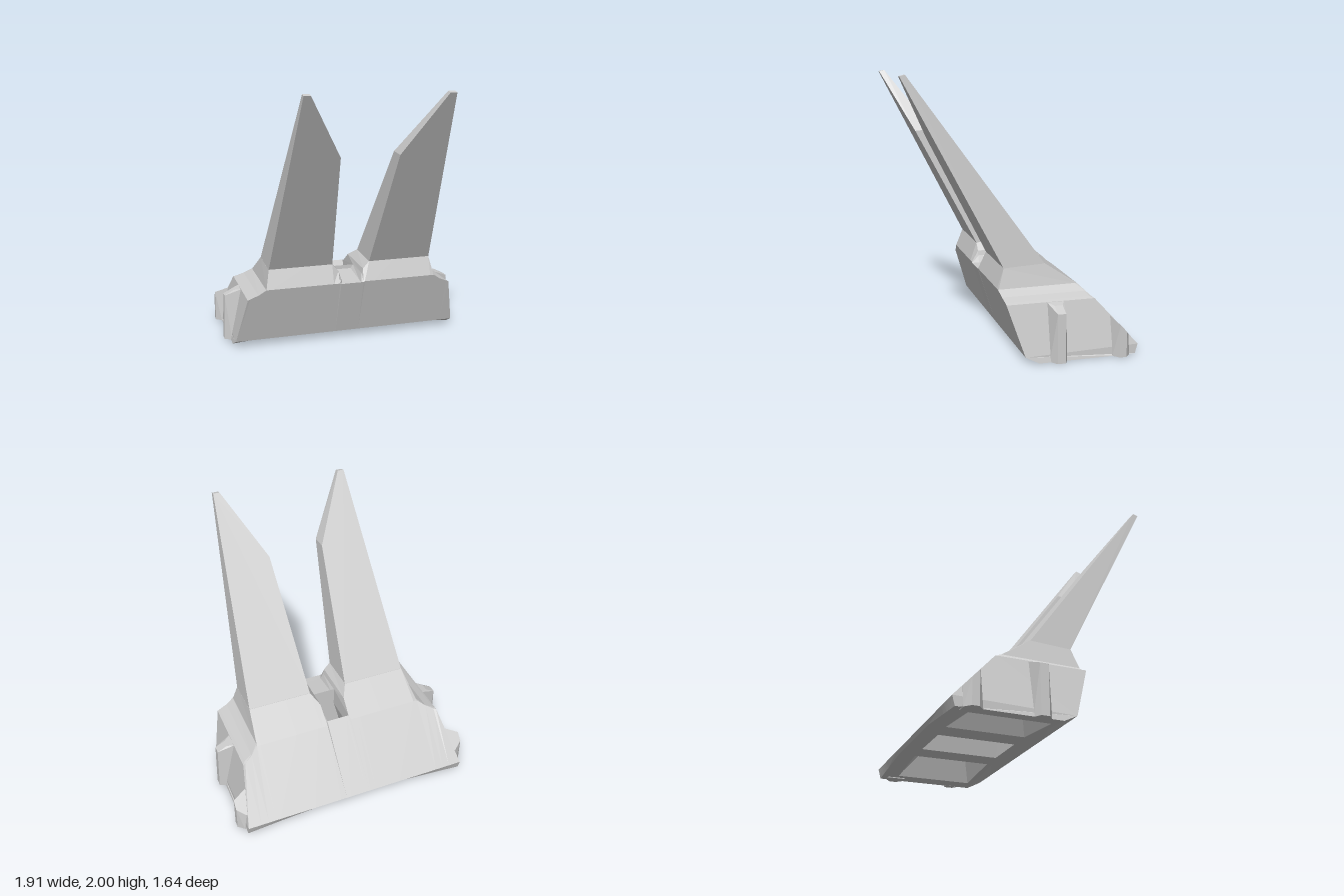
import * as THREE from 'three';
import { ConvexGeometry } from 'three/addons/geometries/ConvexGeometry.js';

const Z_FRONT = -0.11, Z_REAR = -0.68; // recess extents in the underside

// Underside arches up gently towards the middle
const bottomY = (x) => 0.05 * (1 - Math.min(1, Math.max(0, (Math.abs(x) - 0.37) / 0.53)));

// Side profile at x: front toe, front shoulder, ridge front, ridge back, slope start, tail, underside
function station(x, b, t1, t2, c) {
  const y = bottomY(x);
  return [[0.03, 0.05], b, t1, t2, c, [-0.82, 0.07], [-0.8, y], [Z_REAR, y], [Z_FRONT, y], [-0.07, y]]
    .map(([pz, py]) => [x, py, pz]);
}

function meshFromTriangles(name, triangles, material) {
  const geometry = new THREE.BufferGeometry();
  geometry.setAttribute('position', new THREE.Float32BufferAttribute(triangles.flat(2), 3));
  geometry.computeVertexNormals();
  const mesh = new THREE.Mesh(geometry, material);
  mesh.name = name;
  return mesh;
}

const quad = (out, a, b, c, d) => out.push([a, b, c], [a, c, d]);

function makeBody(material) {
  const ridge = [[0.17, 0.49], [0.12, 0.635], [-0.19, 0.65], [-0.43, 0.49]];
  const half = [
    station(0.07, [0.17, 0.485], [0.12, 0.49], [-0.11, 0.52], [-0.4, 0.51]),
    station(0.09, [0.17, 0.485], [0.12, 0.54], [-0.11, 0.55], [-0.4, 0.51]),
    station(0.1, [0.17, 0.49], [0.12, 0.58], [-0.28, 0.59], [-0.43, 0.49]),
    ...[0.15, 0.18, 0.36, 0.65].map((x) => station(x, ...ridge)),
    station(0.68, [0.17, 0.49], [0.165, 0.49], [-0.41, 0.495], [-0.43, 0.49]),
    station(0.74, [0.157, 0.45], [0.15, 0.45], [-0.46, 0.45], [-0.47, 0.45]),
    station(0.8, [0.149, 0.425], [0.14, 0.425], [-0.48, 0.425], [-0.5, 0.42]),
    // Sloping end wall
    [[0.9, 0.05, 0.03], [0.82, 0.415, 0.147], [0.82, 0.415, 0.14], [0.82, 0.415, -0.49], [0.82, 0.415, -0.51],
      [0.9, 0.07, -0.82], [0.9, 0, -0.8], [0.91, 0, Z_REAR], [0.91, 0, Z_FRONT], [0.91, 0, -0.07]],
  ];
  const mirrored = half.map((s) => s.map(([x, y, z]) => [-x, y, z])).reverse();
  const stations = [...mirrored, ...half];
  const tris = [];

  for (let i = 0; i < stations.length - 1; i++) {
    const s = stations[i], t = stations[i + 1];
    const mid = Math.abs(s[9][0] + t[9][0]) / 2;
    for (let j = 0; j < s.length; j++) {
      const k = (j + 1) % s.length;
      const inSlot = j === 3 && mid < 0.09;
      const inRecess = j === 7 && (mid < 0.18 || (mid > 0.36 && mid < 0.8));
      if (!inSlot && !inRecess) quad(tris, s[j], t[j], t[k], s[k]);
    }
  }
  // End caps
  const end = half[half.length - 1], start = stations[0];
  for (let j = 1; j < end.length - 1; j++) {
    tris.push([end[0], end[j + 1], end[j]], [start[0], start[j], start[j + 1]]);
  }
  return meshFromTriangles('body', tris, material);
}

// Rectangular ring of four corners
const ring = (x0, x1, z0, z1, y) => [[x0, z0], [x1, z0], [x1, z1], [x0, z1]]
  .map(([x, z]) => [x, typeof y === 'function' ? y(x, z) : y, z]);

function makeRecess(name, rings, closed, material) {
  const tris = [];
  for (let i = 0; i < rings.length - 1; i++) {
    for (let j = 0; j < 4; j++) {
      const k = (j + 1) % 4;
      quad(tris, rings[i][j], rings[i][k], rings[i + 1][k], rings[i + 1][j]);
    }
  }
  if (closed) quad(tris, ...rings[rings.length - 1]);
  return meshFromTriangles(name, tris, material);
}

function makeHull(name, points, side, material) {
  const mesh = new THREE.Mesh(
    new ConvexGeometry(points.map(([x, y, z]) => new THREE.Vector3(x * side, y, z))), material);
  mesh.name = name;
  return mesh;
}

export function createModel() {
  const group = new THREE.Group();
  const material = new THREE.MeshStandardMaterial({ color: 0xcccccc, flatShading: true });
  const openMaterial = material.clone();
  openMaterial.side = THREE.DoubleSide;

  group.add(makeBody(openMaterial));

  // Central funnel opening into the slot between the prongs
  group.add(makeRecess('centreSlot', [
    ring(-0.18, 0.18, Z_FRONT, Z_REAR, bottomY),
    ring(-0.09, 0.09, Z_FRONT, -0.35, 0.4),
    ring(-0.09, 0.09, Z_FRONT, -0.4, (x, z) => (z > -0.2 ? 0.55 : 0.51)),
  ], false, openMaterial));

  const slopeY = (z) => 0.49 + (z + 0.43) * 1.077;
  for (const side of [1, -1]) {
    const label = side > 0 ? 'left' : 'right';

    // Tapered pocket in the underside
    const [xa, xb] = side > 0 ? [0.36, 0.8] : [-0.8, -0.36];
    const [xc, xd] = side > 0 ? [0.5, 0.68] : [-0.68, -0.5];
    group.add(makeRecess(label + 'Pocket', [
      ring(xa, xb, Z_FRONT, Z_REAR, bottomY),
      ring(xc, xd, -0.2, -0.42, 0.33),
    ], true, openMaterial));

    // Forward-leaning prong with a slanted inner tip
    const prong = [];
    for (const [x, y] of [[0.15, 0.635], [0.65, 0.635], [0.54, 1.99], [0.49, 1.99], [0.22, 1.54]]) {
      const t = (y - 0.635) / 1.355;
      prong.push([x, y, 0.12 + 0.7 * t], [x, y + 0.01, -0.19 + 0.97 * t]);
    }
    group.add(makeHull(label + 'Prong', prong, side, material));

    // Middle rib on the end wall
    const rib = [];
    for (const z of [-0.15, -0.28]) rib.push([0.9, 0, z], [0.81, 0.415, z]);
    for (const z of [-0.19, -0.25]) rib.push([0.955, 0, z], [0.945, 0.36, z], [0.87, 0.4, z]);
    group.add(makeHull(label + 'MiddleRib', rib, side, material));

    // Rear rib, cut off by the back slope
    const rear = [];
    for (const z of [-0.62, -0.75]) rear.push([0.91, 0, z], [0.84, 0, z], [0.84, slopeY(z), z], [z < -0.7 ? 0.89 : 0.85, slopeY(z), z]);
    for (const z of [-0.66, -0.71]) rear.push([0.955, 0, z], [0.955, slopeY(z), z]);
    group.add(makeHull(label + 'RearRib', rear, side, material));
  }
  return group;
}
